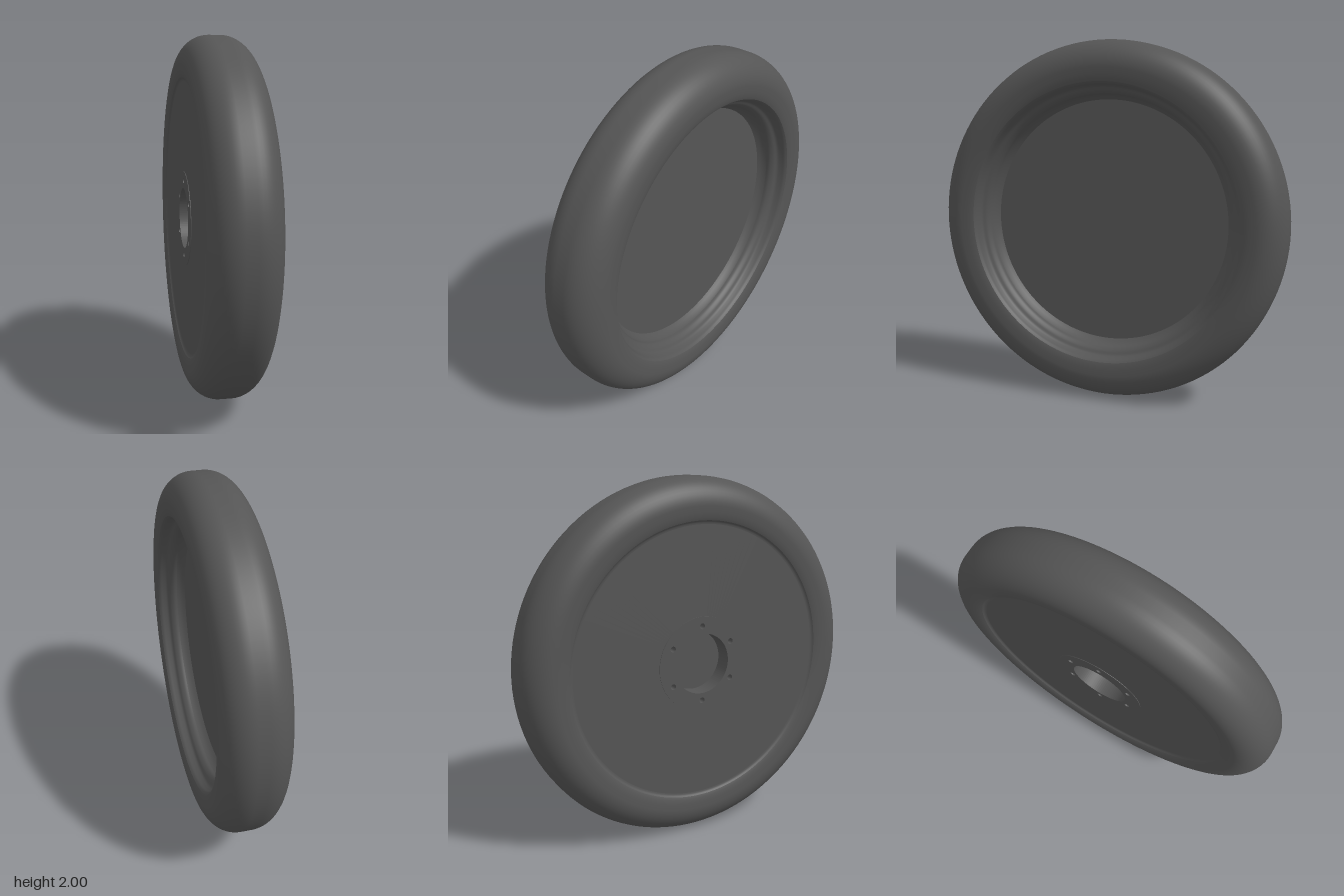
import * as THREE from 'three';

const SEG = 128;

export function createModel() {
  const model = new THREE.Group();
  model.name = 'wheel';
  const wheel = new THREE.Group();
  wheel.position.y = 1;
  model.add(wheel);

  const rubber = new THREE.MeshStandardMaterial({ color: 0x555555 });
  rubber.name = 'dark grey';

  const add = (name, geometry) => {
    const mesh = new THREE.Mesh(geometry, rubber);
    mesh.name = name;
    wheel.add(mesh);
  };

  // Revolves [x, radius] points around the x axle
  const revolve = (name, points) => add(name, new THREE.LatheGeometry(
    points.map(([x, r]) => new THREE.Vector2(r, x)), SEG).rotateZ(-Math.PI / 2));

  // Tyre: rounded shoulders with gently tapering sidewalls
  const half = [[0.168, 0.775], [0.174, 0.79], [0.178, 0.815]];
  for (let i = 0; i <= 12; i++) {
    const a = (i / 12) * Math.PI / 2;
    half.push([0.03 + 0.15 * Math.cos(a), 0.85 + 0.15 * Math.sin(a)]);
  }
  const otherHalf = half.map(([x, r]) => [-x, r]);
  revolve('tyre', [...otherHalf, ...half.reverse()]);

  // Open side: stepped rim wall running down to the dish floor
  const rim = new THREE.SplineCurve([
    [0.168, 0.775], [0.155, 0.765], [0.135, 0.758], [0.115, 0.748],
    [0.1, 0.727], [0.08, 0.712], [0.06, 0.708],
  ].map(([x, r]) => new THREE.Vector2(x, r)));
  revolve('rimWall', rim.getPoints(24).map((p) => [p.x, p.y]));
  revolve('rimStep', [[0.06, 0.708], [0.045, 0.704], [0.028, 0.694], [0.013, 0.68]]);
  revolve('dishFloor', [[0.013, 0.68], [0.013, 0]]);

  // Closed side: flat cover with a rounded lip against the tyre
  revolve('coverDisc', [[-0.158, 0.262], [-0.158, 0.755]]);
  revolve('coverLip', [[-0.158, 0.755], [-0.159, 0.762], [-0.162, 0.769], [-0.168, 0.775]]);

  // Hub ring with centre bore and six bolt holes
  const ring = new THREE.Shape().absarc(0, 0, 0.264, 0, Math.PI * 2);
  const bore = (x, y, r) =>
    ring.holes.push(new THREE.Path().absarc(x, y, r, 0, Math.PI * 2, true));
  bore(0, 0, 0.168);
  for (let i = 0; i < 6; i++) {
    const a = (i / 6) * Math.PI * 2;
    bore(0.21 * Math.sin(a), 0.21 * Math.cos(a), 0.016);
  }
  add('hubRing', new THREE.ExtrudeGeometry(ring, { depth: 0.1, bevelEnabled: false, curveSegments: 48 })
    .translate(0, 0, 0.061).rotateY(-Math.PI / 2));
  add('hubFloor', new THREE.CircleGeometry(0.26, 64).translate(0, 0, 0.064).rotateY(-Math.PI / 2));

  return model;
}
